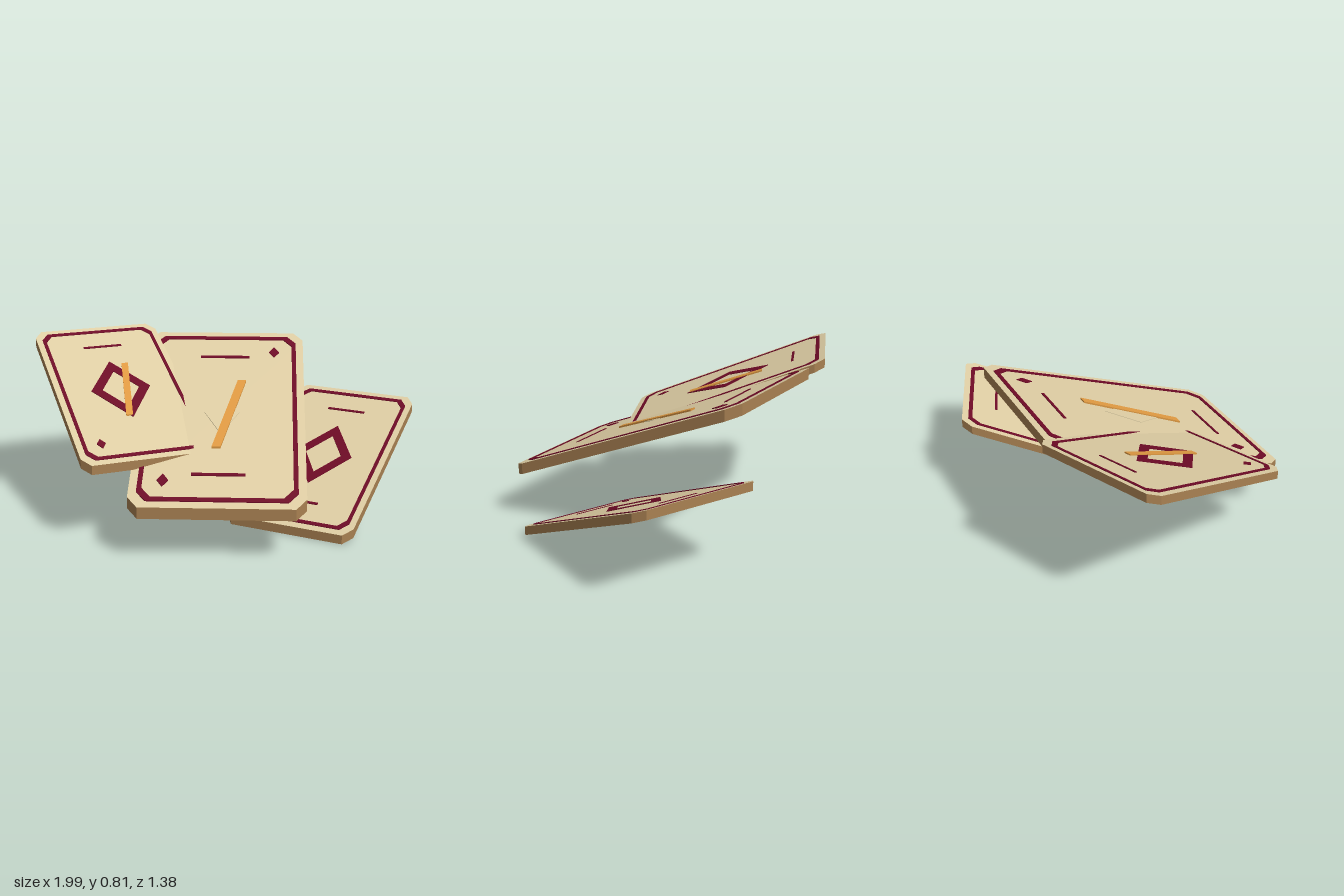
import * as THREE from 'three';

const mat = (name, color) => Object.assign(new THREE.MeshStandardMaterial({ color }), { name });

const SLOPE = 0.4;      // rise of each card towards its rear edge
const THICK = 0.056;
const W = 0.41, L = 0.636; // half width and half length of the large card

export function createModel() {
  const cream = mat('cream face', 0xdfcea4);
  const maroon = mat('maroon', 0x6e0a26);
  const gold = mat('gold', 0xe09a42);
  const tan = mat('tan edge', 0xa98152);
  const dark = mat('dark centre', 0x180f26);

  const toShape = (pts) => new THREE.Shape(pts.map(([x, y]) => new THREE.Vector2(x, y)));

  // Outlines: x is across the card, y is towards its rear
  const chamfered = (w, l, cx, cz) => [
    [w - cx, -l], [w, -l + cz], [w, l - cz], [w - cx, l],
    [-w + cx, l], [-w, l - cz], [-w, -l + cz], [-w + cx, -l],
  ];
  const rhombus = (a, b, x = 0, y = 0) => [[x, y - b], [x + a, y], [x, y + b], [x - a, y]];
  const bar = (w, h, y) => [[-w, y - h], [w, y - h], [w, y + h], [-w, y + h]];

  // Upright slab from y0 to y1, sheared so that the rear rises
  function slab(pts, hole, y0, y1) {
    const shape = toShape(pts);
    if (hole) shape.holes.push(toShape(hole));
    const geo = new THREE.ExtrudeGeometry(shape, { depth: y1 - y0, bevelEnabled: false });
    geo.rotateX(-Math.PI / 2);
    const p = geo.attributes.position;
    for (let i = 0; i < p.count; i++) p.setY(i, p.getY(i) + y0 - SLOPE * p.getZ(i));
    geo.computeVertexNormals();
    return geo;
  }

  function card({ name, x, y, z, turn, scale, pips, dashes, diamond, slash }) {
    const card = new THREE.Group();
    card.name = name;
    const add = (label, geo, material) => {
      const mesh = new THREE.Mesh(geo, material);
      mesh.name = label;
      card.add(mesh);
    };
    const top = (label, pts, hole, material, h = 0.004) =>
      add(label, slab(pts, hole, 0, h), material);
    const under = (label, pts, hole, material, h = 0.004) =>
      add(label, slab(pts, hole, -THICK - h, -THICK), material);

    // Body: maroon back, cream face, tan rim
    const body = slab(chamfered(W, L, 0.05, 0.062), null, -THICK, 0);
    const caps = body.groups[0].count;
    const total = body.attributes.position.count;
    body.clearGroups();
    body.addGroup(0, caps / 2, 0);
    body.addGroup(caps / 2, caps / 2, 1);
    body.addGroup(caps, total - caps, 2);
    add('cardBody', body, [maroon, cream, tan]);

    // Printed front
    top('frontBorder', chamfered(W - 0.038, L - 0.038, 0.045, 0.055),
      chamfered(W - 0.06, L - 0.062, 0.045, 0.055), maroon);
    pips.forEach((s) => top('frontPip', rhombus(0.027, 0.04, s * 0.257, s * 0.468), null, maroon));
    dashes.forEach((s) => top('frontDash', bar(0.127, 0.008, s * 0.428), null, maroon));
    if (diamond) top('frontDiamond', rhombus(0.19, 0.268), rhombus(0.12, 0.17), maroon);
    else top('plainDiamond', rhombus(0.087, 0.154), null, cream, 0.003);
    if (slash) {
      top('goldSlash', [[-0.04, -0.253], [0.003, -0.253], [0.115, 0.233], [0.072, 0.233]],
        null, gold, 0.009);
    }

    // Printed back
    under('backBorder', chamfered(W - 0.06, L - 0.06, 0.05, 0.06),
      chamfered(W - 0.088, L - 0.088, 0.05, 0.06), gold);
    under('backDiamond', rhombus(0.18, 0.25), rhombus(0.09, 0.135), gold);
    under('backDiamondCentre', rhombus(0.09, 0.135), null, dark);
    [1, -1].forEach((s) => {
      under('backPip', rhombus(0.027, 0.04, s * 0.24, s * 0.45), null, gold);
      under('backDash', bar(0.127, 0.008, s * 0.428), null, gold);
    });

    card.position.set(x, y, z);
    card.rotation.y = turn;
    card.scale.setScalar(scale);
    return card;
  }

  const model = new THREE.Group();
  model.name = 'cardFan';
  model.add(
    card({ name: 'middleCard', x: 0, y: 0.519, z: 0.046, turn: 0, scale: 1,
      pips: [1, -1], dashes: [1, -1], diamond: false, slash: true }),
    card({ name: 'rightCard', x: -0.513, y: 0.606, z: -0.056, turn: 0.4, scale: 0.8,
      pips: [-1], dashes: [1], diamond: true, slash: true }),
    card({ name: 'leftCard', x: 0.516, y: 0.252, z: -0.115, turn: -0.4, scale: 0.8,
      pips: [-1], dashes: [1, -1], diamond: true, slash: false }),
  );
  return model;
}
